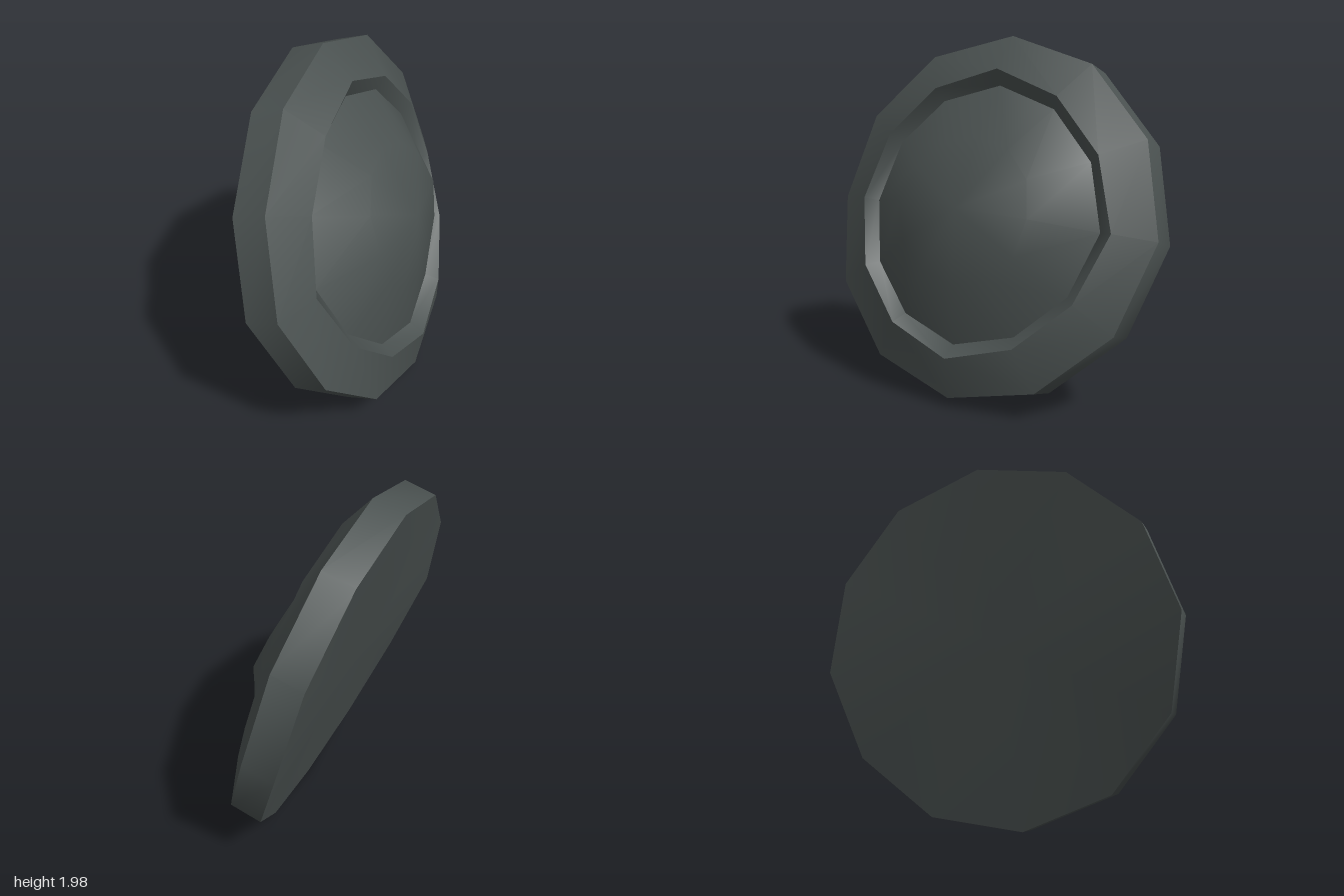
import * as THREE from 'three';
import { toCreasedNormals } from 'three/addons/utils/BufferGeometryUtils.js';

const SIDES = 12;
const STRETCH = 1.006; // the disc is slightly taller than wide

// Turned part around local y; each ring sags backwards towards its two sides
// and is pinched a little on the diagonals
function turned(name, profile, material) {
  const points = profile.map(([r, h]) => new THREE.Vector2(r, h));
  const geometry = new THREE.LatheGeometry(points, SIDES);
  const pos = geometry.attributes.position;
  for (let i = 0; i < pos.count; i++) {
    const [radius, height, sag, pinch] = profile[i % profile.length];
    const x = pos.getX(i), z = pos.getZ(i);
    const squeeze = 1 - pinch * Math.sin(2 * Math.atan2(x, z)) ** 2;
    const y = height - sag * (1 - Math.abs(z) / (radius || 1));
    pos.setXYZ(i, x * squeeze, y, z * squeeze * STRETCH);
  }
  const mesh = new THREE.Mesh(toCreasedNormals(geometry, 0.68), material);
  mesh.name = name;
  return mesh;
}

export function createModel() {
  const darkGrey = new THREE.MeshStandardMaterial({ color: 0x4b5251 });
  darkGrey.name = 'darkGrey';

  // Rings as [radius, height above the back, sag at the sides, pinch]
  const backRing = [1, 0, 0.07, 0];
  const frontRing = [1, 0.181, 0.07, 0];
  const grooveRing = [0.787, 0.286, 0.07, 0.04];
  const domeRing = [0.71, 0.222, 0.05, 0.025];
  const parts = {
    backPlate: [[0, 0, 0.02, 0], backRing],
    outerEdge: [backRing, frontRing],
    slopedRim: [frontRing, grooveRing],
    grooveWall: [grooveRing, domeRing],
    dome: [domeRing, [0.4, 0.35, -0.045, 0], [0, 0.45, 0, 0]],
  };

  const disc = new THREE.Group();
  disc.name = 'disc';
  for (const [name, profile] of Object.entries(parts)) {
    disc.add(turned(name, profile, darkGrey));
  }

  // Lean the disc: its axis points to +x, slightly up and back
  const axis = new THREE.Vector3(0.953, 0.292, -0.09).normalize();
  const side = new THREE.Vector3(0.086, 0.03, 0.996);
  side.addScaledVector(axis, -side.dot(axis)).normalize();
  const up = new THREE.Vector3().crossVectors(side, axis);
  disc.quaternion.setFromRotationMatrix(new THREE.Matrix4().makeBasis(side, axis, up));
  disc.position.set(-0.095, 0.963, 0.003);

  const model = new THREE.Group();
  model.name = 'tiltedDisc';
  model.add(disc);
  return model;
}
